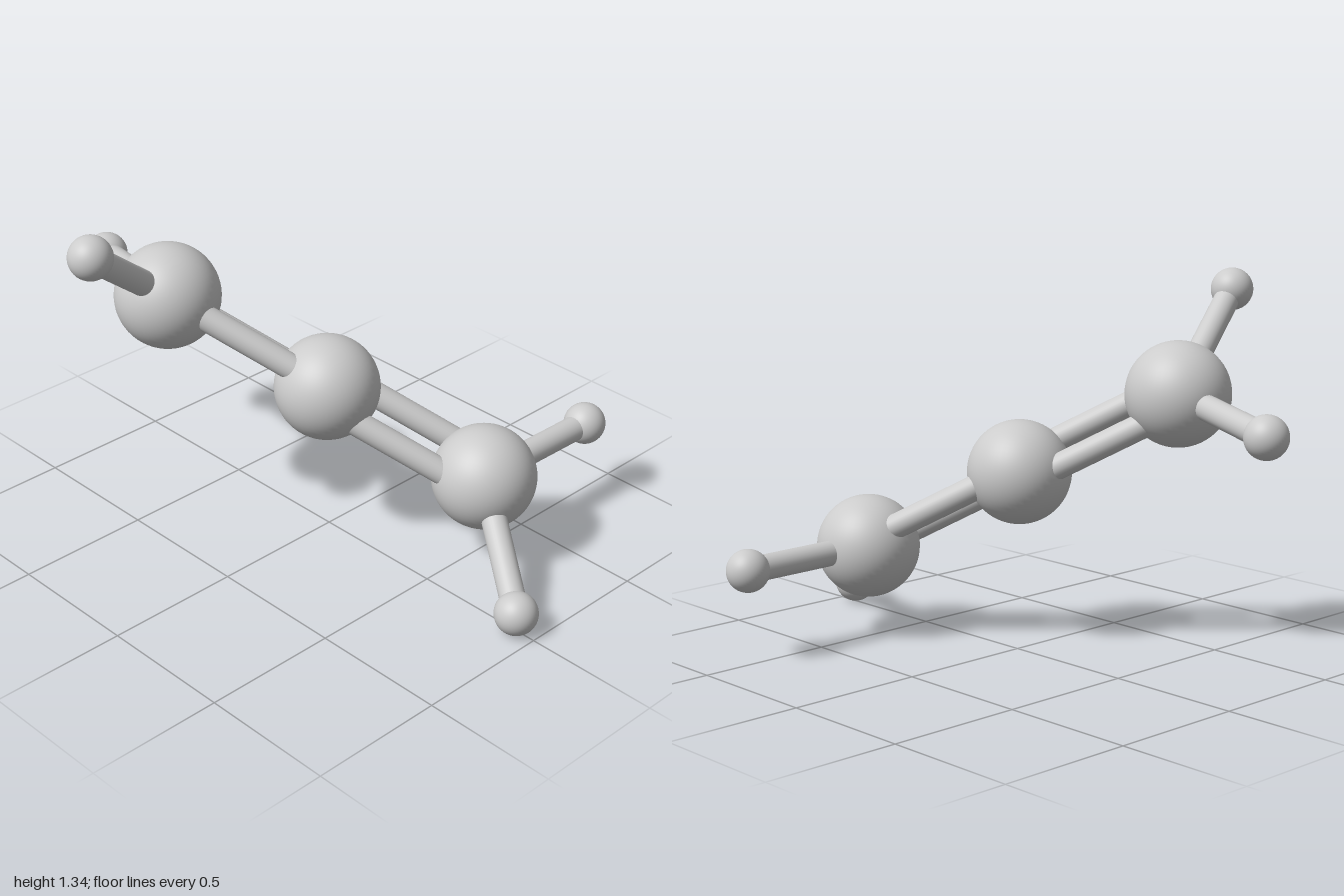
import * as THREE from 'three';

const CARBON_R = 0.188, HYDROGEN_R = 0.077, BOND_R = 0.046, PAIR_OFFSET = 0.079;
const V = (x, y, z) => new THREE.Vector3(x, y, z);

export function createModel() {
  const model = new THREE.Group();
  model.name = 'molecule';
  const material = new THREE.MeshStandardMaterial({ color: 0xcccccc });

  const atom = (name, position, radius) => {
    const mesh = new THREE.Mesh(new THREE.SphereGeometry(radius, 48, 32), material);
    mesh.name = name;
    mesh.position.copy(position);
    model.add(mesh);
  };

  // Rod running between two atom centres, optionally shifted sideways
  const bond = (name, a, b, shift = V(0, 0, 0)) => {
    const axis = b.clone().sub(a);
    const mesh = new THREE.Mesh(new THREE.CylinderGeometry(BOND_R, BOND_R, axis.length(), 32), material);
    mesh.name = name;
    mesh.position.copy(a).add(b).multiplyScalar(0.5).add(shift);
    mesh.quaternion.setFromUnitVectors(V(0, 1, 0), axis.normalize());
    model.add(mesh);
  };

  const centre = V(-0.067, 0.633, 0.06);
  const ends = [
    { name: 'upper', carbon: V(-0.387, 0.934, -0.408), hydrogens: [V(-0.795, 1.261, -0.295), V(-0.251, 0.866, -0.923)] },
    { name: 'lower', carbon: V(0.252, 0.334, 0.526), hydrogens: [V(0.791, 0.33, 0.533), V(-0.007, 0.079, 0.923)] },
  ];

  atom('centreCarbon', centre, CARBON_R);
  for (const { name, carbon, hydrogens } of ends) {
    atom(name + 'Carbon', carbon, CARBON_R);
    hydrogens.forEach((h, i) => {
      atom(`${name}Hydrogen${i + 1}`, h, HYDROGEN_R);
      bond(`${name}SingleBond${i + 1}`, carbon, h);
    });

    // Double bond: its two rods lie in the plane of this end's hydrogens
    const axis = centre.clone().sub(carbon).normalize();
    const side = hydrogens[0].clone().sub(hydrogens[1]).projectOnPlane(axis).setLength(PAIR_OFFSET);
    [1, -1].forEach((s, i) =>
      bond(`${name}DoubleBondRod${i + 1}`, carbon, centre, side.clone().multiplyScalar(s)));
  }
  return model;
}
